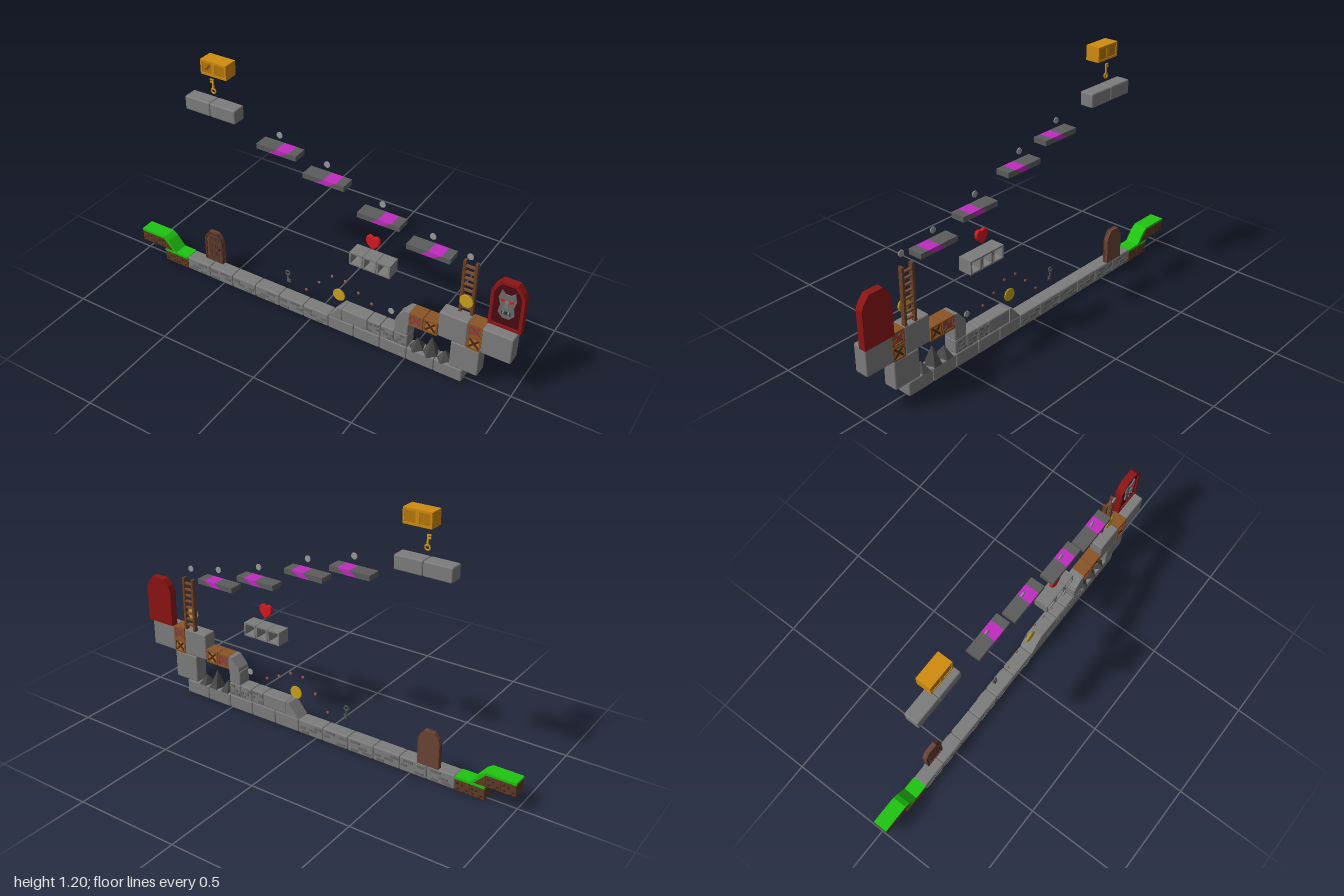
import * as THREE from 'three';
import { RoundedBoxGeometry } from 'three/addons/geometries/RoundedBoxGeometry.js';

const Z0 = -0.03, Z1 = 0.04, ZC = 0.005, U = 0.068;
const materials = {};
const mat = (color) => (materials[color] ??= new THREE.MeshStandardMaterial({ color }));
const STONE = 0x7d7d7d, DARK = 0x555555, WOOD = 0x5f3a26, GOLD = 0xd39a10, RED = 0x8c1414;

export function createModel() {
  const root = new THREE.Group();
  let parent = root;
  const group = (name, build) => {
    const g = new THREE.Group();
    g.name = name;
    const previous = parent;
    previous.add(g);
    parent = g;
    build();
    parent = previous;
    return g;
  };
  const add = (name, geo, color, x = 0, y = 0, z = 0) => {
    const m = new THREE.Mesh(geo, mat(color));
    m.name = name;
    m.position.set(x, y, z);
    parent.add(m);
    return m;
  };
  const box = (name, x, y, z, w, h, d, color) =>
    add(name, new THREE.BoxGeometry(w, h, d), color, x, y, z);
  // Rounded block given by its edges in the front plane
  const block = (name, x0, x1, y0, y1, color = STONE, r = 0.007) =>
    add(name, new RoundedBoxGeometry(x1 - x0, y1 - y0, Z1 - Z0, 2, r), color, (x0 + x1) / 2, (y0 + y1) / 2, ZC);
  const toShape = (pts) => new THREE.Shape(pts.map(([x, y]) => new THREE.Vector2(x, y)));
  // Outline extruded from z0 to z1, with an optional hole
  const prism = (name, pts, z0, z1, color, hole) => {
    const shape = toShape(pts);
    if (hole) shape.holes.push(toShape(hole));
    return add(name, new THREE.ExtrudeGeometry(shape, { depth: z1 - z0, bevelEnabled: false }), color, 0, 0, z0);
  };
  const rect = (x, y, w, h) => [[x - w / 2, y - h / 2], [x + w / 2, y - h / 2], [x + w / 2, y + h / 2], [x - w / 2, y + h / 2]];

  // Raised bricks on the front and back of a stone block
  const bricks = (x0, y0, w, k) => {
    const spots = [[0.2, 0.75, 0.3], [0.68, 0.82, 0.4], [0.4, 0.5, 0.34], [0.82, 0.5, 0.24], [0.25, 0.25, 0.36], [0.7, 0.22, 0.3]];
    spots.forEach(([u, v, s], i) => {
      if ((i + k) % 3 === 0) return;
      box('brick', x0 + u * w, y0 + v * U, ZC, s * w * 0.9, 0.013, 0.076, 0x686868);
    });
  };

  // Ground and steps
  group('stoneFloor', () => {
    const w = 1.5 / 11;
    for (let i = 0; i < 11; i++) {
      const x = -0.72 + i * w;
      block('floorBlock', x, x + w, 0, 0.07);
      if (i < 6) bricks(x, 0, w, i);
    }
  });
  group('steps', () => {
    prism('lowerRamp', [[0.1, 0.07], [0.17, 0.07], [0.17, 0.138], [0.155, 0.135]], Z0, Z1, STONE);
    block('stepBlock', 0.17, 0.305, 0.07, 0.14);
    for (let i = 0; i < 3; i++) {
      const x = 0.305 + i * U;
      block('stepBlock', x, x + U, 0.07, 0.14);
      bricks(x, 0.07, U, i + 1);
    }
    block('stepColumn', 0.441, 0.509, 0.138, 0.21);
    prism('upperRamp', [[0.443, 0.2], [0.51, 0.2], [0.51, 0.272], [0.49, 0.27], [0.45, 0.225]], Z0, Z1, STONE);
    block('bigBlock', 0.65, 0.785, 0.21, 0.345);
    block('bigBlock', 0.715, 0.85, 0.07, 0.21);
    block('bigBlock', 0.85, 0.99, 0.21, 0.345);
  });

  // Grass-topped dirt
  group('grassBlocks', () => {
    [[-1, 0.07], [-0.93, 0.07], [-0.86, 0], [-0.79, 0]].forEach(([x, y]) => {
      block('dirt', x, x + 0.07, y, y + 0.062, WOOD, 0.004);
      box('grassTop', x + 0.035, y + 0.063, ZC, 0.07, 0.012, 0.072, 0x1fc410);
      [[0.2, 0.3], [0.5, 0.6], [0.75, 0.25], [0.8, 0.65], [0.35, 0.1]].forEach(([u, v]) =>
        box('pebble', x + u * 0.07, y + v * 0.06, ZC, 0.009, 0.007, 0.074, 0x3b2218));
    });
    prism('dirtRamp', [[-0.86, 0.07], [-0.803, 0.07], [-0.86, 0.127]], Z0, Z1, WOOD);
    prism('grassRamp', [[-0.86, 0.125], [-0.805, 0.068], [-0.79, 0.068], [-0.835, 0.122], [-0.86, 0.139]], -0.031, 0.041, 0x1fc410);
  });

  // Crates
  const crate = (x, y, panel, cross) => group('crate', () => {
    const cx = x + U / 2, cy = y + U / 2;
    box('panel', cx, cy, ZC, 0.06, 0.06, 0.06, panel);
    prism('frame', rect(cx, cy, 0.067, 0.067), Z0, Z1, 0x8a5426, rect(cx, cy, 0.05, 0.05));
    for (const s of [-1, 1]) {
      box('crossBar', cx, cy, ZC, 0.066, 0.009, 0.066, cross).rotation.z = s * Math.PI / 4;
      box('topBar', cx, cy, ZC, 0.008, 0.064, 0.0695, 0x7a4820).position.x += s * 0.029;
    }
  });
  [[0.51, 0.205, 1], [0.58, 0.205, 0], [0.785, 0.277, 1], [0.785, 0.208, 0]].forEach(([x, y, barred]) =>
    crate(x, y, barred ? 0x6a5a54 : 0xb8702c, barred ? 0xa83428 : 0x4a2c16));

  // Spikes in the pit
  group('spikes', () => {
    [[0.545, 0.055], [0.613, 0.09], [0.68, 0.045]].forEach(([x, h]) => {
      const geo = new THREE.ConeGeometry(0.046, h, 5).toNonIndexed();
      geo.computeVertexNormals();
      add('spike', geo, 0x484848, x, 0.068 + h / 2, ZC).scale.x = 0.8;
    });
  });

  // Ladder
  group('ladder', () => {
    for (const x of [0.721, 0.775]) box('ladderRail', x, 0.48, -0.019, 0.012, 0.27, 0.02, 0x6b4128);
    for (let i = 0; i < 8; i++) box('ladderRung', 0.748, 0.37 + i * 0.031, -0.019, 0.05, 0.008, 0.012, 0x7c4d2e);
  });

  // Doors
  const doorOutline = (x, y, w, h, c) => [
    [x - w / 2, y], [x + w / 2, y], [x + w / 2, y + h - c], [x + w * 0.42, y + h - c * 0.55],
    [x + w * 0.24, y + h], [x - w * 0.24, y + h], [x - w * 0.42, y + h - c * 0.55], [x - w / 2, y + h - c]];
  group('woodenDoor', () => {
    prism('doorSlab', doorOutline(-0.588, 0.07, 0.105, 0.17, 0.045), -0.032, -0.012, 0x6a4434);
    prism('doorFrame', doorOutline(-0.588, 0.07, 0.105, 0.17, 0.045), -0.02, -0.007, 0x54332a,
      doorOutline(-0.588, 0.076, 0.085, 0.152, 0.038));
    for (const x of [-0.609, -0.588, -0.567]) box('plank', x, 0.147, -0.012, 0.018, 0.135, 0.004, 0x5a382b);
    add('doorKnob', new THREE.SphereGeometry(0.006, 10, 8), 0x222222, -0.555, 0.15, -0.007);
  });
  group('redDoor', () => {
    prism('doorSlab', doorOutline(0.925, 0.345, 0.15, 0.238, 0.058), -0.043, -0.017, RED);
    prism('doorFrame', doorOutline(0.925, 0.345, 0.15, 0.238, 0.058), -0.018, -0.007, RED,
      doorOutline(0.925, 0.357, 0.122, 0.212, 0.05));
    prism('doorPanel', doorOutline(0.925, 0.357, 0.122, 0.212, 0.05), -0.018, -0.014, 0x4c0a10);
    // Stone mask on the door
    prism('maskFace', [[0.91, 0.4], [0.94, 0.4], [0.962, 0.425], [0.955, 0.465], [0.965, 0.5], [0.955, 0.54],
      [0.937, 0.522], [0.913, 0.522], [0.895, 0.54], [0.885, 0.5], [0.895, 0.465], [0.888, 0.425]], -0.015, -0.007, 0x6c6c6c);
    box('maskNose', 0.925, 0.475, -0.006, 0.016, 0.035, 0.008, 0x7c7c7c);
    box('maskMouth', 0.925, 0.43, -0.006, 0.042, 0.014, 0.004, 0x333333);
    for (const s of [-1, 1]) {
      box('maskEye', 0.925 + s * 0.019, 0.492, -0.006, 0.017, 0.009, 0.005, 0xe01818).rotation.z = s * 0.4;
      box('maskTooth', 0.925 + s * 0.012, 0.433, -0.004, 0.006, 0.012, 0.003, 0x9a9a9a);
    }
  });

  // Floating platforms with a slanted coloured band
  [[-0.172, 0.85], [0.067, 0.781], [0.338, 0.679], [0.577, 0.609]].forEach(([x, y]) => group('slimPlatform', () => {
    const h = 0.025, cuts = [[-0.102, -0.102], [-0.038, 0], [0.015, 0.062], [0.102, 0.102]];
    for (let i = 0; i < 3; i++) {
      const [a, b] = cuts[i], [c, d] = cuts[i + 1];
      prism('slab', [[x + a, y], [x + c, y], [x + d, y + h], [x + b, y + h]], Z0, Z1, i === 1 ? 0xc02cc0 : 0x5c5c5c);
    }
  }));
  group('stonePlatform', () => {
    block('platformBlock', -0.655, -0.52, 0.93, 0.998);
    block('platformBlock', -0.52, -0.385, 0.93, 0.998);
  });

  // Golden blocks with framed faces
  group('goldenBlocks', () => {
    for (const x of [-0.521, -0.454]) {
      const y = 1.17;
      add('goldCore', new RoundedBoxGeometry(0.064, 0.066, 0.064, 1, 0.003), 0xb87808, x, y, ZC);
      prism('goldFrame', rect(x, y, 0.067, 0.069), Z0, Z1, 0xd08c10, rect(x, y, 0.05, 0.05));
    }
    box('goldBar', -0.517, 1.172, 0.037, 0.034, 0.01, 0.004, 0x8a4c08).rotation.z = 0.8;
  });

  // Open frames
  group('openFrames', () => {
    for (let i = 0; i < 3; i++) {
      const x = 0.237 + i * U;
      prism('openFrame', rect(x, 0.448, 0.066, 0.066), Z0, Z1, STONE, rect(x, 0.448, 0.05, 0.05));
    }
  });

  // Coins
  const coin = (name, x, y, r, t, color) => group(name, () => {
    add('coinDisc', new THREE.CylinderGeometry(r * 0.95, r * 0.95, t, 24), color, x, y, 0.004).rotation.x = Math.PI / 2;
    add('coinRim', new THREE.TorusGeometry(r * 0.88, r * 0.12, 6, 24), color, x, y, 0.004);
  });
  [[0.135, 0.184], [0.752, 0.423]].forEach(([x, y]) => coin('goldCoin', x, y, 0.032, 0.007, 0xc9a21a));
  [[-0.175, 0.93], [0.065, 0.863], [0.338, 0.76], [0.578, 0.69], [0.75, 0.656], [0.405, 0.211]].forEach(([x, y]) =>
    coin('silverCoin', x, y, 0.015, 0.005, 0x9a9a9a));
  [[-0.043, 0.137], [0.027, 0.21], [0.096, 0.275], [0.166, 0.275], [0.235, 0.239], [0.305, 0.206]].forEach(([x, y]) =>
    coin('copperCoin', x, y, 0.007, 0.004, 0xa85a48));

  // Heart
  const heart = new THREE.Shape();
  heart.moveTo(0, -0.029);
  heart.bezierCurveTo(-0.018, -0.014, -0.03, -0.004, -0.03, 0.012);
  heart.bezierCurveTo(-0.03, 0.036, -0.006, 0.036, 0, 0.02);
  heart.bezierCurveTo(0.006, 0.036, 0.03, 0.036, 0.03, 0.012);
  heart.bezierCurveTo(0.03, -0.004, 0.018, -0.014, 0, -0.029);
  add('heart', new THREE.ExtrudeGeometry(heart, { depth: 0.008, bevelThickness: 0.005, bevelSize: 0.004, bevelSegments: 3, curveSegments: 10 }),
    0xd41820, 0.303, 0.549, 0.003);

  // Keys: ring, shaft and bit
  const key = (name, x, y, h, dir, color) => {
    const g = group(name, () => {
      add('keyRing', new THREE.TorusGeometry(0.011, 0.004, 6, 16), color, 0, h / 2 - 0.015);
      box('keyShaft', 0, -0.01, 0, 0.007, h - 0.022, 0.006, color);
      for (const v of [0.004, 0.016]) box('keyBit', 0.008, -h / 2 + v, 0, 0.014, 0.007, 0.005, color);
    });
    g.position.set(x, y, 0.004);
    g.rotation.z = dir;
  };
  key('ironKey', -0.145, 0.173, 0.068, 0, DARK);
  key('goldKey', -0.52, 1.065, 0.072, Math.PI, GOLD);

  return root;
}
